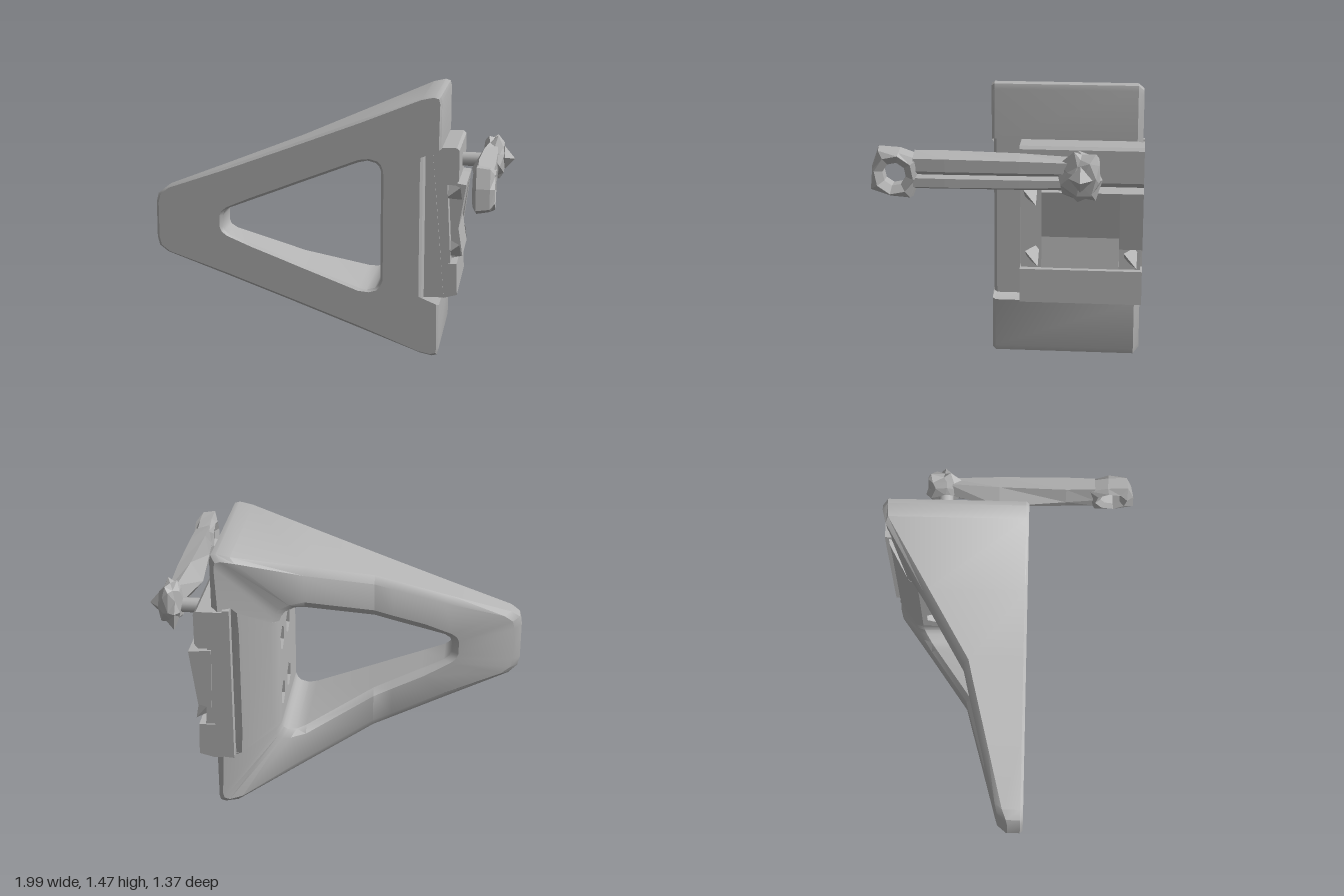
import * as THREE from 'three';
import { toCreasedNormals } from 'three/addons/utils/BufferGeometryUtils.js';

const MID = 0.735, FRONT = 0.095, FB = 0.015, BB = 0.04;

// Depth of the frame's back face along x
const BACK = [[-1, -0.03], [-0.95, -0.055], [-0.3, -0.225], [-0.2, -0.25], [0.5, -0.69], [0.7, -0.695]];
function backZ(x) {
  for (let i = 1; i < BACK.length; i++) {
    const [x0, z0] = BACK[i - 1], [x1, z1] = BACK[i];
    if (x <= x1) return z0 + (z1 - z0) * (x - x0) / (x1 - x0);
  }
  return -0.695;
}

// Skin between cross-sections; skip(i, j) leaves a panel open
function loft(sections, closed, skip = () => false) {
  const n = sections[0].length, m = sections.length, index = [];
  for (let i = 0; i < (closed ? m : m - 1); i++) {
    for (let j = 0; j < n; j++) {
      if (skip(i, j)) continue;
      const i2 = (i + 1) % m, j2 = (j + 1) % n;
      const a = i * n + j, b = i2 * n + j, c = i2 * n + j2, d = i * n + j2;
      index.push(a, d, c, a, c, b);
    }
  }
  if (!closed) {
    const e = (m - 1) * n;
    for (let j = 1; j < n - 1; j++) index.push(0, j + 1, j, e, e + j, e + j + 1);
  }
  const g = new THREE.BufferGeometry();
  g.setAttribute('position', new THREE.Float32BufferAttribute(sections.flat(2), 3));
  g.setIndex(index);
  return g;
}

// Shift vertices by a repeatable rule for a rough, faceted look
function roughen(g, amount) {
  const p = g.attributes.position;
  for (let i = 0; i < p.count; i++) {
    const x = p.getX(i), y = p.getY(i), z = p.getZ(i);
    const k = Math.round(x * 100) * 3 + Math.round(y * 100) * 7 + Math.round(z * 100) * 13;
    p.setXYZ(i, x + amount * 0.3 * Math.sin(k), y + amount * Math.sin(k * 1.7), z + amount * Math.cos(k * 2.3));
  }
  return g;
}

function flat(g) {
  const f = g.index ? g.toNonIndexed() : g;
  f.computeVertexNormals();
  return f;
}

const shapeOf = pts => new THREE.Shape(pts.map(([x, y]) => new THREE.Vector2(x, y)));
const polygon = (cx, cy, r, n, turn = 0) => Array.from({ length: n }, (_, i) => {
  const a = turn + i / n * Math.PI * 2;
  return [cx + r * Math.cos(a), cy + r * Math.sin(a)];
});

export function createModel() {
  const group = new THREE.Group();
  const grey = new THREE.MeshStandardMaterial({ color: 0xb3b3b3 });
  grey.name = 'plain grey';
  const add = (name, geometry) => {
    const mesh = new THREE.Mesh(geometry, grey);
    mesh.name = name;
    group.add(mesh);
    return mesh;
  };
  // Prism from an x-y outline between two z values
  const prism = (name, pts, z0, z1) => add(name,
    new THREE.ExtrudeGeometry(shapeOf(pts), { depth: z1 - z0, bevelEnabled: false }).translate(0, 0, z0));

  // Triangular frame: outer and inner outline in pairs, upper half, mirrored about MID
  const half = [
    [-1, 0.1, -0.62, 0.03], [-0.988, 0.15, -0.61, 0.055], [-0.94, 0.188, -0.58, 0.078],
    [-0.6, 0.31, -0.45, 0.128], [-0.3, 0.42, -0.3, 0.185], [-0.2, 0.457, -0.2, 0.224],
    [0.15, 0.588, 0.15, 0.357], [0.5, 0.72, 0.2, 0.367], [0.57, 0.735, 0.245, 0.355],
    [0.598, 0.727, 0.265, 0.335], [0.605, 0.7, 0.275, 0.31], [0.605, 0.44, 0.275, 0.303],
    [0.505, 0.435, 0.275, 0.297], [0.505, 0.29, 0.275, 0.29],
  ];
  const mirrored = half.map(([a, b, c, d]) => [a, -b, c, -d]).reverse();
  const frameSections = [...half, ...mirrored].map(([ox, oy, ix, iy]) => {
    const len = Math.hypot(ix - ox, iy - oy);
    const at = (d, lift, back) => {
      const x = ox + (ix - ox) * d / len, y = oy + (iy - oy) * d / len;
      return [x, MID + y, back ? backZ(x) + lift : FRONT - lift];
    };
    return [
      at(0, FB, false), at(FB, 0, false), at(len - FB, 0, false), at(len, FB, false),
      at(len, BB, true), at(len - BB, 0.01, true), at(BB, 0.01, true), at(0, BB, true),
    ];
  });
  const wallAt = half.length - 1;
  add('frame', toCreasedNormals(
    loft(frameSections, true, (i, j) => i === wallAt && (j === 3 || j === 7)), 0.65));

  // Upright wall inside the frame, with four hexagonal bolt holes
  const wallShape = shapeOf([[-FRONT + FB, MID - 0.29], [0.52, MID - 0.29], [0.52, MID + 0.29], [-FRONT + FB, MID + 0.29]]);
  for (const u of [0.21, 0.42]) for (const v of [-0.165, 0.165]) {
    wallShape.holes.push(new THREE.Path(polygon(u, MID + v, 0.07, 6, Math.PI / 6).map(([x, y]) => new THREE.Vector2(x, y))));
  }
  const wall = new THREE.ExtrudeGeometry(wallShape, { depth: 0.23, bevelEnabled: false });
  wall.rotateY(Math.PI / 2).translate(0.275, 0, 0);
  const wp = wall.attributes.position;
  for (let i = 0; i < wp.count; i++) if (wp.getZ(i) < -0.51) wp.setZ(i, backZ(wp.getX(i)) + BB);
  wall.computeVertexNormals();
  add('boltedWall', wall);

  // Clamp fitted in the notch
  prism('clampBackPlate', [[0.508, 0.3], [0.62, 0.31], [0.545, 1.17], [0.508, 1.17]], -0.69, -0.05);
  prism('clampUpperJaw', [[0.52, 0.96], [0.675, 0.95], [0.695, 0.975], [0.695, 1.145], [0.68, 1.16], [0.52, 1.16]], -0.69, -0.055);
  prism('clampLowerJaw', [[0.55, 0.305], [0.62, 0.3], [0.695, 0.32], [0.69, 0.5], [0.55, 0.5]], -0.69, -0.055);
  prism('clampCore', [[0.53, 0.49], [0.655, 0.49], [0.63, 0.96], [0.53, 0.96]], -0.68, -0.06);
  prism('clampPad', [[0.62, 0.5], [0.715, 0.52], [0.69, 0.68], [0.73, 0.93], [0.61, 0.95]], -0.57, -0.17);
  prism('clampPadFlap', [[0.62, 0.6], [0.69, 0.62], [0.73, 0.93], [0.61, 0.94]], -0.69, -0.57);

  // Broken corners around the pad
  for (const [y, z, s] of [[0.9, -0.11, 0.07], [0.57, -0.12, 0.07], [0.57, -0.63, 0.07]]) {
    const shard = add('padShard', roughen(new THREE.TetrahedronGeometry(s), 0.012));
    shard.geometry = flat(shard.geometry);
    shard.position.set(0.665, y, z);
  }

  // Screw, hub and end tip of the lever
  add('screw', new THREE.CylinderGeometry(0.04, 0.04, 0.2, 12).rotateZ(Math.PI / 2)).position.set(0.76, 1.045, -0.37);
  const hub = add('leverHub', flat(roughen(new THREE.IcosahedronGeometry(0.12, 1), 0.02).scale(0.55, 1.12, 0.9)));
  hub.position.set(0.875, 1.06, -0.38);
  const tip = add('screwTip', flat(roughen(new THREE.OctahedronGeometry(0.06), 0.008)));
  tip.position.set(0.935, 1.06, -0.37);

  // Lever arm: z, ridge x, side x, outer x, half height
  const arm = [
    [-0.36, 0.83, 0.85, 0.895, 0.085], [-0.07, 0.765, 0.83, 0.905, 0.095],
    [0.3, 0.8, 0.82, 0.908, 0.1], [0.46, 0.815, 0.825, 0.905, 0.1],
  ].map(([z, ridge, side, out, h], k) => [
    [ridge, 1.05, z], [side, 1.065 - h, z], [out, 1.07 - h * 0.75, z],
    [out, 1.04, z], [out - 0.03 + k * 0.003, 1.055, z], [out, 1.075, z],
    [out, 1.065 + h * 0.75, z], [side, 1.065 + h, z],
  ]);
  add('leverArm', flat(loft(arm, false)));

  // Faceted eye at the end of the lever
  const eye = polygon(0, 0, 1, 8, 0.2).map(([c, s], i) => {
    const r = i % 2 ? 0.155 : 0.125;
    return [[0.825, 0.06], [0.805, 0.09], [0.825, r], [0.895, r - 0.012], [0.92, 0.1], [0.895, 0.06]]
      .map(([x, q]) => [x, 1.055 + q * s, 0.555 + q * c]);
  });
  add('leverEye', flat(loft(eye, true)));
  return group;
}
